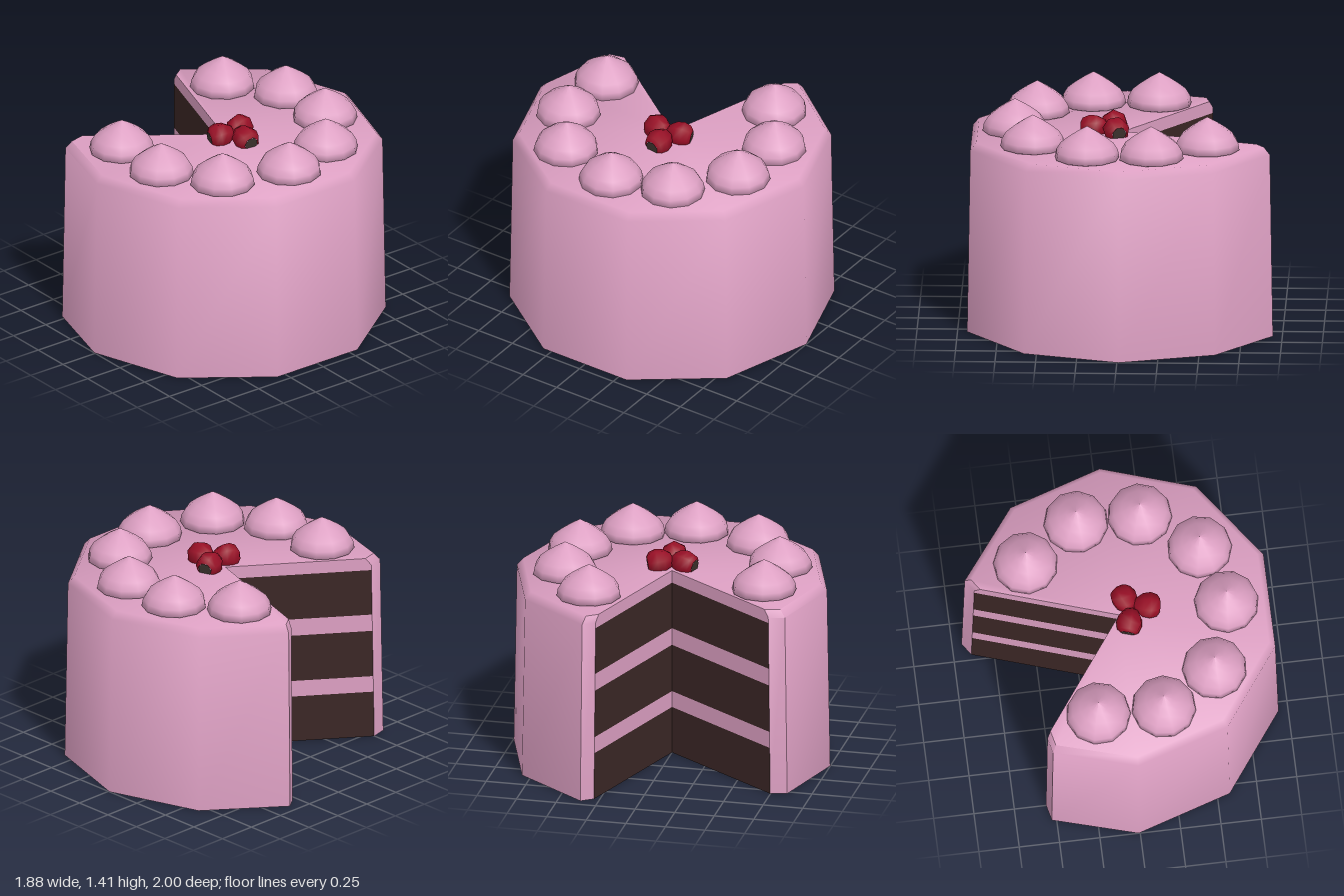
import * as THREE from 'three';
import { toCreasedNormals } from 'three/addons/utils/BufferGeometryUtils.js';

const mat = (name, color, side = THREE.FrontSide) => {
  const m = new THREE.MeshStandardMaterial({ color, side });
  m.name = name;
  return m;
};

// geometry from a flat list of points, three per triangle
function fromTriangles(points, crease = 0.9) {
  const g = new THREE.BufferGeometry().setFromPoints(points);
  g.computeVertexNormals();
  return toCreasedNormals(g, crease);
}

export function createModel() {
  const icing = mat('pinkIcing', 0xdc9fc2);
  const sponge = mat('chocolateSponge', 0x3a2625);
  const red = mat('berryRed', 0x980f26);
  const hull = mat('berryHull', 0x3d332e);

  const cake = new THREE.Group();
  cake.name = 'cake';
  const add = (name, geometry, material, parent = cake) => {
    const mesh = new THREE.Mesh(geometry, material);
    mesh.name = name;
    parent.add(mesh);
    return mesh;
  };

  // ten-sided outline with two sectors cut away and bevelled cut corners
  const polar = (deg, r) => {
    const a = THREE.MathUtils.degToRad(deg);
    return [r * Math.sin(a), r * Math.cos(a)];
  };
  const outline = [polar(-36, 0.925), [-0.52, 0.85]];
  for (let a = 0; a <= 216; a += 36) outline.push(polar(a, 1));
  outline.push([-0.932, -0.36], polar(252, 0.925));

  // sides lean in slightly, then a bevel runs round the top
  const TOP = 1.2, BEVEL = 1.155;
  const scaleAt = (y) => (y <= BEVEL ? 1 - 0.02 * (y / BEVEL) : 0.98 - 0.04 * ((y - BEVEL) / (TOP - BEVEL)));
  const at = (p, y) => new THREE.Vector3(p[0] * scaleAt(y), y, p[1] * scaleAt(y));
  const centre = (y) => new THREE.Vector3(0, y, 0);
  const quad = (a, b, c, d) => [a, b, c, a, c, d];

  const shell = [], base = [];
  for (let i = 0; i < outline.length - 1; i++) {
    const p = outline[i], q = outline[i + 1];
    for (const [y0, y1] of [[0, BEVEL], [BEVEL, TOP]]) {
      shell.push(...quad(at(p, y0), at(q, y0), at(q, y1), at(p, y1)));
    }
    shell.push(centre(TOP), at(p, TOP), at(q, TOP));
    base.push(centre(0), at(q, 0), at(p, 0));
  }
  add('icingShell', fromTriangles(shell), icing);
  add('cakeBase', fromTriangles(base), sponge);

  // layered faces of the two cuts, sponge and icing in turn
  const levels = [0, 0.3, 0.405, 0.71, 0.82, 1.12, BEVEL, TOP];
  const spongeFaces = [], icingFaces = [];
  const first = outline[0], last = outline[outline.length - 1];
  for (let i = 0; i < levels.length - 1; i++) {
    const y0 = levels[i], y1 = levels[i + 1];
    const faces = i % 2 === 0 && i < 5 ? spongeFaces : icingFaces;
    faces.push(...quad(centre(y0), at(first, y0), at(first, y1), centre(y1)));
    faces.push(...quad(at(last, y0), centre(y0), centre(y1), at(last, y1)));
  }
  add('spongeLayers', fromTriangles(spongeFaces), sponge);
  add('fillingLayers', fromTriangles(icingFaces), icing);

  // piped dollops round the rim
  const dollopProfile = [[0.16, -0.01], [0.2, 0.005], [0.192, 0.05], [0.165, 0.095], [0.115, 0.135], [0.06, 0.172], [0, 0.207]]
    .map(([r, y]) => new THREE.Vector2(r, y));
  const dollopGeometry = new THREE.LatheGeometry(dollopProfile, 11);
  const spots = [[-0.53, -0.4], [-0.19, -0.63], [0.205, -0.63], [0.545, -0.375],
    [0.665, 0], [0.54, 0.42], [0.2, 0.635], [-0.205, 0.63]];
  spots.forEach(([x, z], i) => {
    const dollop = add('dollop', dollopGeometry, icing);
    dollop.position.set(x, TOP, z);
    dollop.rotation.y = i * 0.7;
  });

  // three berries, tips together and hulls outward
  const berryProfile = [[0, -0.085], [0.045, -0.068], [0.075, -0.025], [0.083, 0.02], [0.07, 0.062], [0.045, 0.08]]
    .map(([r, y]) => new THREE.Vector2(r, y));
  const berryGeometry = new THREE.LatheGeometry(berryProfile, 7);
  const hullGeometry = new THREE.CircleGeometry(0.045, 7).rotateX(-Math.PI / 2);
  const up = new THREE.Vector3(0, 1, 0);
  const berries = [[0.045, -0.085, -0.35, -1], [0.175, -0.03, 1, 0.1], [0.06, 0.06, -0.3, 1]];
  for (const [x, z, dx, dz] of berries) {
    const berry = new THREE.Group();
    berry.name = 'berry';
    add('berryBody', berryGeometry, red, berry);
    add('berryHull', hullGeometry, hull, berry).position.y = 0.08;
    berry.position.set(x, TOP + 0.035, z);
    berry.quaternion.setFromUnitVectors(up, new THREE.Vector3(dx, -0.15, dz).normalize());
    cake.add(berry);
  }

  cake.position.x = -0.01;
  const model = new THREE.Group();
  model.add(cake);
  return model;
}
